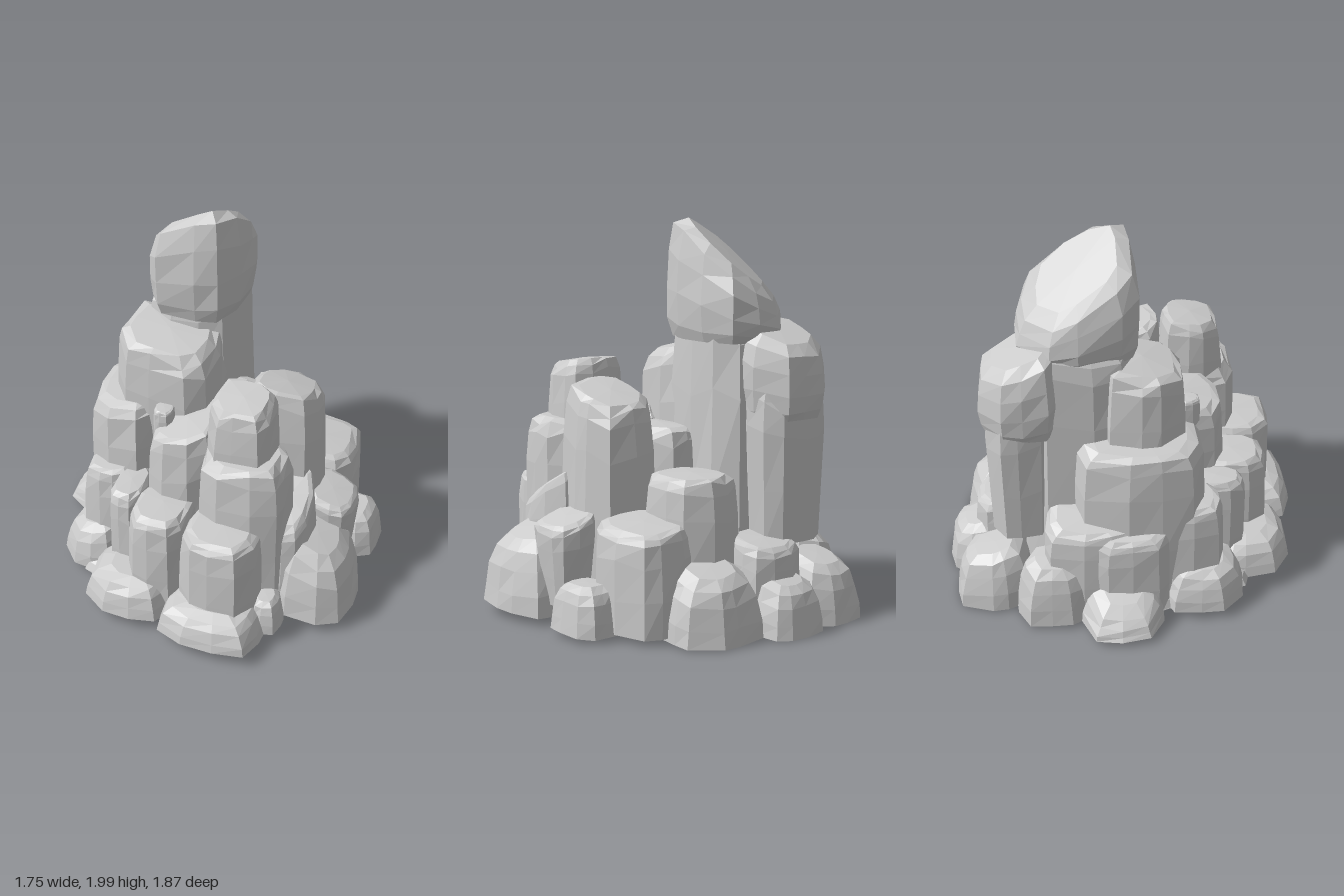
import * as THREE from 'three';

const stone = new THREE.MeshStandardMaterial({ color: 0xcccccc, flatShading: true });
stone.name = 'grey stone';

// Gently tilted ground plane on which the base rocks are cut off
const ground = (z) => 0.035 + 0.037 * z;

function seeded(seed) {
  let s = seed * 7919 + 17;
  return () => {
    s = (s * 16807) % 2147483647;
    return s / 2147483647 - 0.5;
  };
}

// Ring profiles: [height fraction, radius fraction]
const BLOCK = [[0, 1], [0.35, 1.02], [0.72, 1.01], [0.91, 0.97], [0.97, 0.89], [1, 0.73]];
const BOULDER = [[0, 1], [0.3, 0.97], [0.65, 0.89], [0.88, 0.76], [1, 0.5]];
const CAP = [[0, 0.88], [0.12, 0.96], [0.35, 1], [0.65, 0.98], [0.88, 0.89], [1, 0.66]];

// One faceted rock: stacked rounded-square rings with a tilted top.
// taper widens (or narrows) the foot; bottom null rests on the ground.
function rock([name, x, z, rx, rz, bottom, top, slopeX = 0, slopeZ = 0, taper = 0.04], profile, seed) {
  const rand = seeded(seed);
  const sides = 11;
  const turn = rand();
  const outline = [];
  for (let i = 0; i < sides; i++) {
    const a = ((i + rand() * 0.5) / sides) * Math.PI * 2 + turn;
    const c = Math.cos(a), s = Math.sin(a);
    const r = (1.02 + rand() * 0.06) / Math.pow(Math.abs(c) ** 3.4 + Math.abs(s) ** 3.4, 1 / 3.4);
    outline.push([c * r, s * r]);
  }
  const pos = [];
  const index = [];
  const addPoint = (dx, dz, t) => {
    const low = bottom === null ? ground(z + dz) : bottom;
    const high = top + slopeX * dx + slopeZ * dz;
    pos.push(x + dx, low + (high - low) * t, z + dz);
  };
  profile.forEach(([t, f]) => {
    const k = f * (1 + taper * (1 - t));
    for (const [ox, oz] of outline) {
      const wobble = t > 0 ? 1 + rand() * 0.05 : 1;
      const lift = t > 0 && t < 0.99 ? rand() * 0.05 : 0;
      addPoint(ox * rx * k * wobble, oz * rz * k * wobble, t + lift);
    }
  });
  for (let r = 0; r < profile.length - 1; r++) {
    for (let i = 0; i < sides; i++) {
      const j = (i + 1) % sides;
      const a = r * sides + i, b = r * sides + j;
      index.push(a, a + sides, b, b, a + sides, b + sides);
    }
  }
  // Closing fans for the foot and the top
  const foot = pos.length / 3;
  addPoint(0, 0, 0);
  addPoint(0, 0, 1.01);
  const last = (profile.length - 1) * sides;
  for (let i = 0; i < sides; i++) {
    const j = (i + 1) % sides;
    index.push(foot, i, j, foot + 1, last + j, last + i);
  }
  const geo = new THREE.BufferGeometry();
  geo.setAttribute('position', new THREE.Float32BufferAttribute(pos, 3));
  geo.setIndex(index);
  geo.computeVertexNormals();
  const mesh = new THREE.Mesh(geo, stone);
  mesh.name = name;
  return mesh;
}

// name, x, z, half width, half depth, bottom, top, slopeX, slopeZ, taper
const baseRocks = [
  ['bed', 0, 0, 0.64, 0.66, null, 0.2],
  ['frontRightFoot', 0.26, 0.7, 0.26, 0.22, null, 0.23],
  ['frontLeftFoot', -0.21, 0.63, 0.23, 0.22, null, 0.25],
  ['leftFrontFoot', -0.53, 0.37, 0.16, 0.2, null, 0.28, 0.2],
  ['leftFoot', -0.64, -0.05, 0.22, 0.2, null, 0.24, 0.6],
  ['leftRearFoot', -0.57, -0.4, 0.14, 0.18, null, 0.36, 0.3],
  ['backLeftFoot', -0.38, -0.7, 0.18, 0.19, null, 0.32, 0, 0.3],
  ['backFoot', -0.08, -0.77, 0.17, 0.16, null, 0.27, 0, 0.3],
  ['backRightFoot', 0.28, -0.63, 0.22, 0.2, null, 0.35, -0.1, 0.3],
  ['rightRearFoot', 0.7, -0.21, 0.14, 0.16, null, 0.26],
  ['rightFoot', 0.66, 0.28, 0.2, 0.24, null, 0.44, -0.4],
  ['rightFrontPebble', 0.5, 0.6, 0.08, 0.1, null, 0.24],
];
const lowerBlocks = [
  ['core', 0, 0, 0.5, 0.5, null, 0.52],
  ['frontRightLowBlock', 0.265, 0.6, 0.185, 0.195, 0.06, 0.63],
  ['frontLowBlock', -0.08, 0.55, 0.15, 0.18, 0.06, 0.63],
  ['frontLowSliver', -0.3, 0.45, 0.09, 0.15, 0.06, 0.63],
  ['frontLeftLowBlock', -0.46, 0.3, 0.14, 0.16, 0.06, 0.63, 0.1, 0, 0.12],
  ['leftLowBlock', -0.57, -0.02, 0.12, 0.2, 0.05, 0.55, 0.4],
  ['rightLeaningBlock', 0.5, 0.3, 0.12, 0.18, 0.06, 0.66, -0.2, -0.6, 0.12],
  ['rightSmallBlock', 0.65, 0.03, 0.13, 0.155, 0.1, 0.54, -0.3, 0, -0.3],
  ['rightRearBlock', 0.47, -0.36, 0.19, 0.22, 0.03, 0.55, -0.1, 0.1],
  ['backRightBlock', 0.19, -0.39, 0.18, 0.21, 0.03, 0.76],
  ['backLowBlock', -0.07, -0.63, 0.16, 0.15, 0.02, 0.44, 0, 0.2],
];
const middleBlocks = [
  ['leftRearBlock', -0.51, -0.2, 0.15, 0.23, 0.05, 0.58, 0.3],
  ['frontLeftBlock', -0.41, 0.05, 0.2, 0.32, 0.1, 0.99, 0.1],
  ['frontBlock', -0.05, 0.29, 0.17, 0.21, 0.1, 0.99, 0.2, -0.1],
  ['frontRightBlock', 0.31, 0.41, 0.22, 0.18, 0.1, 0.97],
  ['centreBlock', 0.08, 0.0, 0.14, 0.24, 0.1, 0.95],
  ['rightColumn', 0.38, 0.01, 0.18, 0.2, 0.2, 1.14, -0.1, 0.32, 0.15],
  ['frontRightColumn', 0.275, 0.36, 0.16, 0.15, 0.5, 1.26, 0, -0.15, 0.12],
  ['wedgedPebble', -0.17, 0.31, 0.05, 0.06, 0.85, 1.04],
];
const tallColumns = [
  ['frontLeftColumn', -0.235, 0.07, 0.265, 0.21, 0.3, 1.34, -0.1, -0.15],
  ['mainColumn', -0.2, -0.25, 0.235, 0.27, 0.1, 1.5, 0.15, 0.0],
  ['backColumn', -0.27, -0.55, 0.21, 0.165, 0.4, 1.2, 0, 0.4, -0.12],
];
const caps = [
  ['backCap', -0.27, -0.52, 0.22, 0.215, 1.02, 1.45, 0, 0.4, 0],
  ['spire', -0.175, -0.24, 0.23, 0.29, 1.39, 1.82, 0.55, 0.65, 0.04],
];

export function createModel() {
  const model = new THREE.Group();
  model.name = 'rockFormation';
  let seed = 1;
  const addGroup = (name, list, profile) => {
    const group = new THREE.Group();
    group.name = name;
    for (const entry of list) group.add(rock(entry, profile, seed++));
    model.add(group);
  };
  addGroup('baseRocks', baseRocks, BOULDER);
  addGroup('lowerBlocks', lowerBlocks, BLOCK);
  addGroup('middleBlocks', middleBlocks, BLOCK);
  addGroup('tallColumns', tallColumns, BLOCK);
  addGroup('caps', caps, CAP);
  return model;
}
